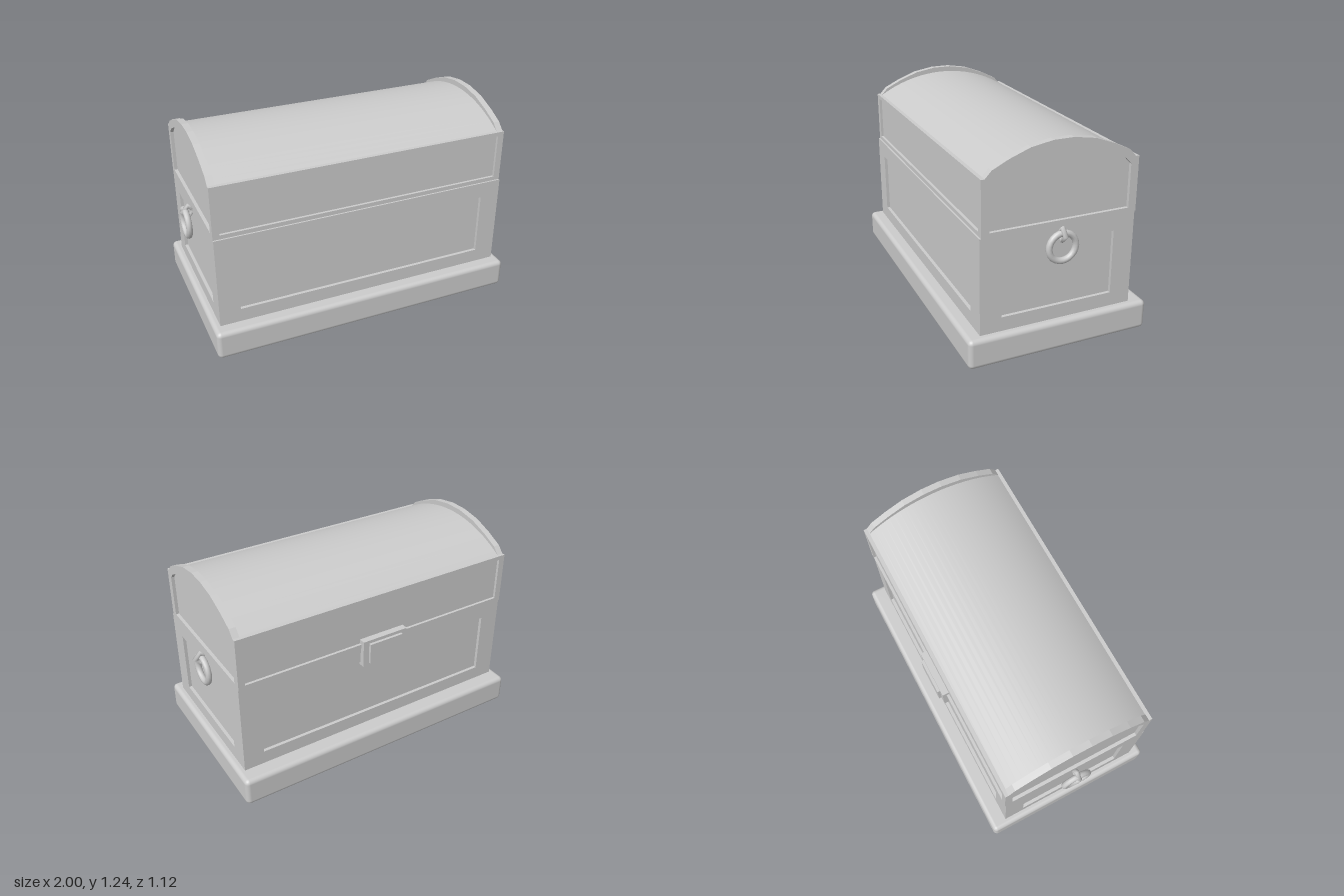
import * as THREE from 'three';
import { RoundedBoxGeometry } from 'three/addons/geometries/RoundedBoxGeometry.js';

const grey = new THREE.MeshStandardMaterial({ color: 0xcccccc });
const thin = new THREE.MeshStandardMaterial({ color: 0xcccccc, side: THREE.DoubleSide });

function add(parent, name, geometry, x = 0, y = 0, z = 0, turn = 0, material = grey) {
  const mesh = new THREE.Mesh(geometry, material);
  mesh.name = name;
  mesh.position.set(x, y, z);
  mesh.rotation.y = turn;
  parent.add(mesh);
  return mesh;
}

// Box given by its limits on each axis
function block(parent, name, x0, x1, y0, y1, z0, z1) {
  return add(parent, name, new THREE.BoxGeometry(x1 - x0, y1 - y0, z1 - z0),
    (x0 + x1) / 2, (y0 + y1) / 2, (z0 + z1) / 2);
}

const rect = (w, y0, y1) => [[-w, y0], [w, y0], [w, y1], [-w, y1]];

// Symmetric outline from the points of its right half
const arch = (half) => [...half, ...half.map(([x, y]) => [-x, y]).reverse()];

function slab(outer, hole, depth) {
  const points = (list) => list.map(([x, y]) => new THREE.Vector2(x, y));
  const shape = new THREE.Shape(points(outer));
  if (hole) shape.holes.push(new THREE.Path(points(hole)));
  return new THREE.ExtrudeGeometry(shape, { depth, bevelEnabled: false });
}

export function createModel() {
  const chest = new THREE.Group();
  chest.name = 'chest';
  const W = 0.925;

  // Plinth with softened edges
  add(chest, 'base', new RoundedBoxGeometry(1.935, 0.18, 1.12, 3, 0.028), 0, 0.09, 0);

  // Body: core with a raised frame on each face
  const body = new THREE.Group();
  body.name = 'body';
  chest.add(body);
  block(body, 'bodyCore', -W + 0.02, W - 0.02, 0.17, 0.755, -0.44, 0.46);
  const longFrame = slab(rect(W, 0.17, 0.755), rect(0.797, 0.265, 0.655), 0.02);
  const endFrame = slab(rect(0.45, 0.17, 0.755), rect(0.342, 0.265, 0.655), 0.02);
  add(body, 'frontFrame', longFrame, 0, 0, 0.46);
  add(body, 'backFrame', longFrame, 0, 0, -0.44, Math.PI);
  for (const s of [-1, 1]) {
    add(body, 'endFrame', endFrame, s * (W - 0.02), 0, 0.01, s * Math.PI / 2);
  }

  // Lid: walls, barrel top and arched ends
  const lid = new THREE.Group();
  lid.name = 'lid';
  lid.position.z = 0.002;
  chest.add(lid);
  block(lid, 'lidCore', -0.89, 0.89, 0.755, 1.08, -0.452, 0.452);
  const lidFrame = slab(rect(W, 0.755, 1.08), rect(0.89, 0.78, 1.055), 0.016);
  add(lid, 'lidFrontFrame', lidFrame, 0, 0, 0.452);
  add(lid, 'lidBackFrame', lidFrame, 0, 0, -0.452, Math.PI);

  const radius = 0.855;
  const halfAngle = Math.asin(0.445 / radius);
  const barrel = new THREE.CylinderGeometry(radius, radius, 1.78, 24, 1, true,
    Math.PI / 2 - halfAngle, halfAngle * 2);
  barrel.rotateZ(Math.PI / 2);
  add(lid, 'barrelTop', barrel, 0, 1.205 - radius, 0, 0, thin);

  const outer = arch([[0.468, 0.755], [0.468, 1.08], [0.447, 1.08], [0.408, 1.122],
    [0.31, 1.17], [0.19, 1.215], [0.06, 1.237]]);
  const inner = arch([[0.42, 0.78], [0.42, 1.04], [0.385, 1.077],
    [0.3, 1.12], [0.18, 1.162], [0.03, 1.183]]);
  const endPanel = slab(outer, null, 0.02);
  const endRim = slab(outer, inner, 0.02);
  for (const s of [-1, 1]) {
    add(lid, 'lidEndPanel', endPanel, s * 0.885, 0, 0, s * Math.PI / 2);
    add(lid, 'lidEndRim', endRim, s * 0.905, 0, 0, s * Math.PI / 2);
  }

  // Clasp plates on the back
  block(chest, 'claspPlate', -0.17, 0.135, 0.635, 0.808, -0.491, -0.45);
  block(chest, 'claspBoss', -0.13, 0.097, 0.655, 0.788, -0.508, -0.47);

  // Ring handles hanging from angular staples
  for (const s of [-1, 1]) {
    const ring = new THREE.TorusGeometry(0.082, 0.019, 10, 24);
    add(chest, 'ringHandle', ring, s > 0 ? 0.942 : -0.967, 0.628, 0, Math.PI / 2);
    const staple = new THREE.TorusGeometry(0.034, 0.016, 8, 4);
    add(chest, 'staple', staple, s * 0.95, 0.706, 0.005);
  }
  return chest;
}
